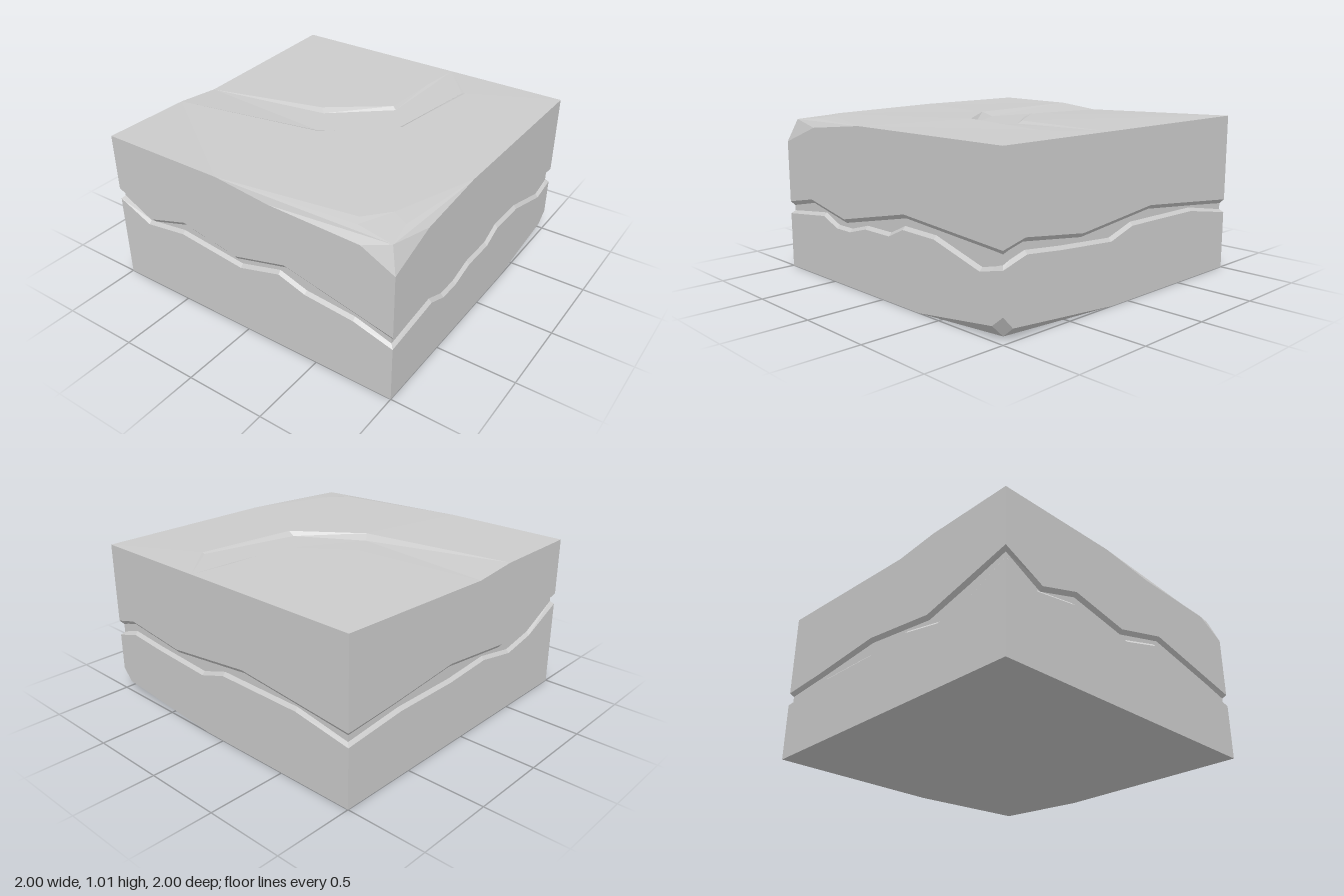
import * as THREE from 'three';

const material = new THREE.MeshStandardMaterial({ color: 0xcccccc, flatShading: true });
const INSET = 0.98; // half width of the block at the back of the crack

// Plan position [x, z] on side 0 front, 1 right, 2 back, 3 left, with t from -1 to 1 anticlockwise
const plan = (side, t) => [[t, 1], [1, -t], [-t, -1], [-1, t]][side];

// One outline round the block: four corner heights, and [t, height] bends along each side
const outline = (corners, bends) =>
  bends.map((list, i) => [[-1, corners[i]], ...list, [1, corners[(i + 1) % 4]]]);

const top = outline([1, 0.83, 1, 1], [
  [[-0.17, 1], [0.2, 0.955], [0.79, 0.935]],
  [[-0.68, 0.945], [-0.2, 0.995]],
  [],
  [[0.11, 0.965], [0.41, 0.995]],
]);
const crackTop = outline([0.635, 0.435, 0.485, 0.455], [
  [[-0.73, 0.505], [-0.46, 0.585], [-0.07, 0.505], [0.29, 0.595]],
  [[-0.74, 0.485], [-0.38, 0.415], [0.21, 0.54]],
  [[-0.84, 0.525], [-0.4, 0.47], [0.2, 0.535]],
  [[-0.65, 0.48], [-0.13, 0.53], [0.39, 0.475]],
]);
const crackBottom = outline([0.56, 0.355, 0.385, 0.37], [
  [[-0.77, 0.455], [-0.48, 0.495], [-0.03, 0.44], [0.25, 0.515], [0.43, 0.455], [0.75, 0.425]],
  [[-0.6, 0.4], [-0.46, 0.345], [-0.32, 0.345], [-0.16, 0.39], [0.07, 0.39], [0.2, 0.45], [0.47, 0.445], [0.83, 0.345]],
  [[-0.83, 0.435], [-0.58, 0.41], [-0.16, 0.38], [0.03, 0.44], [0.62, 0.435]],
  [[-0.58, 0.41], [-0.13, 0.41], [0.2, 0.435], [0.48, 0.385], [0.71, 0.43]],
]);
const base = outline([0, 0, 0.145, 0], [
  [],
  [[0.33, 0], [0.92, 0.08]],
  [[-0.93, 0.07], [-0.14, 0]],
  [],
]);

// Points of an outline along one side
const edgePoints = (layer, side) => layer[side].map(([t, y]) => {
  const [x, z] = plan(side, t);
  return [x, y, z];
});

// Height of a side's profile at position t
function heightAt(profile, t) {
  const i = Math.max(1, profile.findIndex(p => p[0] >= t));
  const [a, b] = [profile[i - 1], profile[i]];
  return a[1] + (b[1] - a[1]) * (t - a[0]) / (b[0] - a[0]);
}

// Strip round all four sides between two rings, each [outline, height offset, half width]
function strip(lower, upper) {
  const out = [];
  const point = ([layer, offset, w], side, t) => {
    const [x, z] = plan(side, t).map(v => THREE.MathUtils.clamp(v, -w, w));
    return [x, heightAt(layer[side], t) + offset, z];
  };
  for (let side = 0; side < 4; side++) {
    const keys = [top, crackTop, crackBottom, base].flatMap(layer => layer[side].map(p => p[0]));
    const stations = [...new Set(keys)].sort((a, b) => a - b);
    for (let i = 1; i < stations.length; i++) {
      const [s, t] = [stations[i - 1], stations[i]];
      const a = point(lower, side, s), b = point(lower, side, t);
      const c = point(upper, side, t), d = point(upper, side, s);
      out.push(a, b, c, a, c, d);
    }
  }
  return out;
}

// Fans of triangles turned to face up (dir 1) or down (dir -1)
function faces(loops, dir) {
  const out = [];
  for (const loop of loops) {
    for (let i = 2; i < loop.length; i++) {
      const [a, b, c] = [loop[0], loop[i - 1], loop[i]];
      const ny = (b[2] - a[2]) * (c[0] - a[0]) - (b[0] - a[0]) * (c[2] - a[2]);
      out.push(...(ny * dir > 0 ? [a, b, c] : [a, c, b]));
    }
  }
  return out;
}

function part(name, points) {
  const geometry = new THREE.BufferGeometry();
  geometry.setAttribute('position', new THREE.Float32BufferAttribute(points.flat(), 3));
  geometry.computeVertexNormals();
  const mesh = new THREE.Mesh(geometry, material);
  mesh.name = name;
  return mesh;
}

// Broken edge round a corner, and the facets joining it to one ridge point
const chipEdge = (layer, corner) =>
  [...edgePoints(layer, corner - 1).slice(1), ...edgePoints(layer, corner).slice(1, -1)];
const chipFacets = (edge, ridge) => edge.slice(1).map((p, i) => [edge[i], p, ridge]);

export function createModel() {
  const group = new THREE.Group();
  group.name = 'crackedStoneBlock';

  // Side walls and the crack between them
  group.add(part('lowerWalls', strip([base, 0, 1], [crackBottom, 0, 1])));
  group.add(part('crackLowerLip', strip([crackBottom, 0, 1], [crackBottom, 0.02, INSET])));
  group.add(part('crackBack', strip([crackBottom, 0.02, INSET], [crackTop, -0.025, INSET])));
  group.add(part('crackUpperLip', strip([crackTop, -0.025, INSET], [crackTop, 0, 1])));
  group.add(part('upperWalls', strip([crackTop, 0, 1], [top, 0, 1])));

  // Shallow channel across the top, from its outer rim down to the floor and up to its inner rim
  const [backLeft, floorStart, rimStart, frontLeft] = edgePoints(top, 3);
  const backRight = edgePoints(top, 2)[0];
  const end = [0.2, 1, -1];
  const outerRim = [rimStart, [-0.02, 1.005, 0.25], [0.37, 1.012, -0.07], [0.45, 1.005, -0.72], end];
  const outerFoot = [floorStart, [-0.06, 0.975, 0.2], [0.33, 0.985, -0.07], [0.43, 1, -0.72], end];
  const innerFoot = [floorStart, [-0.165, 0.98, 0], [0.19, 0.985, -0.29], [0.2, 0.995, -0.71], end];
  const innerRim = [floorStart, [-0.2, 1, -0.03], [0.165, 1.003, -0.3], [0.175, 1, -0.71], end];
  const channel = [];
  for (const [p, q] of [[outerRim, outerFoot], [outerFoot, innerFoot], [innerFoot, innerRim]]) {
    for (let i = 0; i < 4; i++) channel.push([p[i], p[i + 1], q[i + 1], q[i]]);
  }
  group.add(part('topChannel', faces(channel, 1)));

  // Top surface either side of the channel
  const topEdge = chipEdge(top, 1);
  const a = topEdge[0], b = topEdge.at(-1);
  const p = [0.7, 1, 0.87], q = [0.82, 1, 0.73];
  const [r0, r1, r2, r3] = outerRim;
  group.add(part('topSurface', faces([
    ...chipFacets(innerRim, backLeft),
    [r0, frontLeft, a, r1], [r1, a, p, r2], [r2, p, q], [r2, q, b],
    [r2, b, r3], [r3, b, backRight], [r3, backRight, end],
  ], 1)));

  // Chipped upper corner at the front
  const s = [0.72, 0.99, 0.92], t = [0.92, 0.99, 0.78], ridge = [0.95, 0.975, 0.95];
  group.add(part('topCornerChip', faces([
    [a, s, p], [s, p, q, t], [q, t, b], [a, ridge, s], [s, ridge, t], [ridge, b, t],
    ...chipFacets(topEdge, ridge),
  ], 1)));

  // Underside with its chipped back corner
  const baseEdge = chipEdge(base, 2);
  const c = baseEdge.at(-1), d = baseEdge[0];
  const rim = [0.88, 0, -0.86], low = [0.95, 0.02, -0.95];
  group.add(part('underside', faces([[[-1, 0, 1], [1, 0, 1], d, rim, c, [-1, 0, -1]]], -1)));
  group.add(part('bottomCornerChip', faces([
    [c, low, rim], [d, low, rim], ...chipFacets(baseEdge, low),
  ], -1)));

  return group;
}
